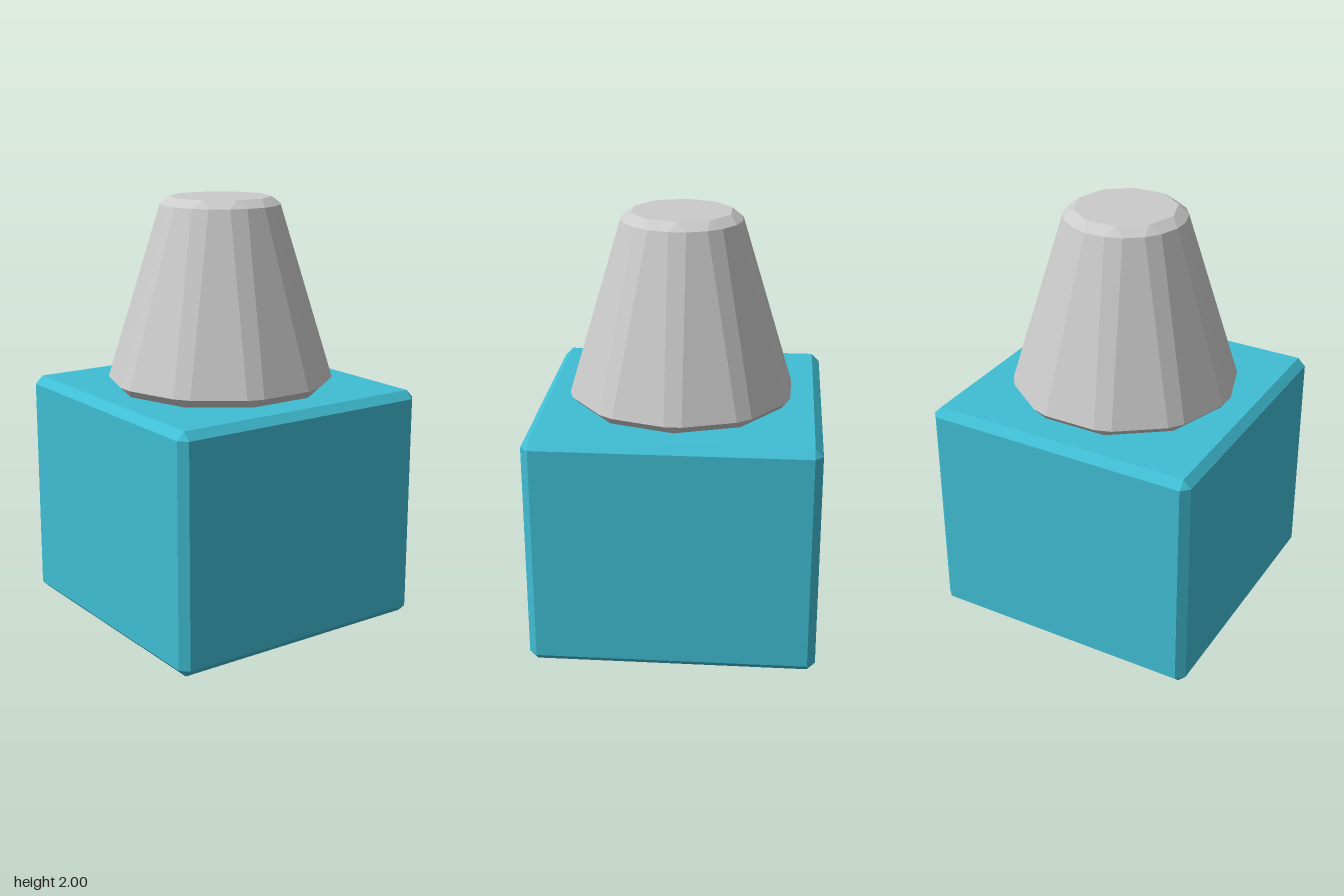
import * as THREE from 'three';
import { ConvexGeometry } from 'three/addons/geometries/ConvexGeometry.js';

// Box standing on y = 0 with every edge chamfered by c
function chamferedBox(half, height, c) {
  const points = [];
  const h = height / 2;
  for (const sx of [-1, 1]) for (const sy of [-1, 1]) for (const sz of [-1, 1]) {
    for (const [ix, iy, iz] of [[0, c, c], [c, 0, c], [c, c, 0]]) {
      points.push(new THREE.Vector3(sx * (half - ix), h + sy * (h - iy), sz * (half - iz)));
    }
  }
  return new ConvexGeometry(points);
}

// Stacked rings of corners; halfWidth > 0 splits each corner into a chamfer
function chamferedCone(sides, rings) {
  const points = [];
  for (const [radius, y, halfWidth] of rings) {
    for (let i = 0; i < sides; i++) {
      const a = (i / sides) * Math.PI * 2;
      for (const t of halfWidth ? [-halfWidth, halfWidth] : [0]) {
        points.push(new THREE.Vector3(
          radius * Math.sin(a) + t * Math.cos(a), y,
          radius * Math.cos(a) - t * Math.sin(a)));
      }
    }
  }
  return new ConvexGeometry(points);
}

export function createModel() {
  const model = new THREE.Group();
  const add = (name, geometry, color) => {
    const material = new THREE.MeshStandardMaterial({ color });
    material.flatShading = true;
    const mesh = new THREE.Mesh(geometry, material);
    mesh.name = name;
    model.add(mesh);
  };

  // Square block below
  add('baseBlock', chamferedBox(0.665, 1.11, 0.037), 0x40bed4);

  // Ten-sided tapered plug on top
  add('taperedTop', chamferedCone(10, [
    [0.502, 1.11, 0],
    [0.532, 1.15, 0.04],
    [0.28, 1.965, 0.04],
    [0.238, 2.0, 0],
  ]), 0xcccccc);

  return model;
}
